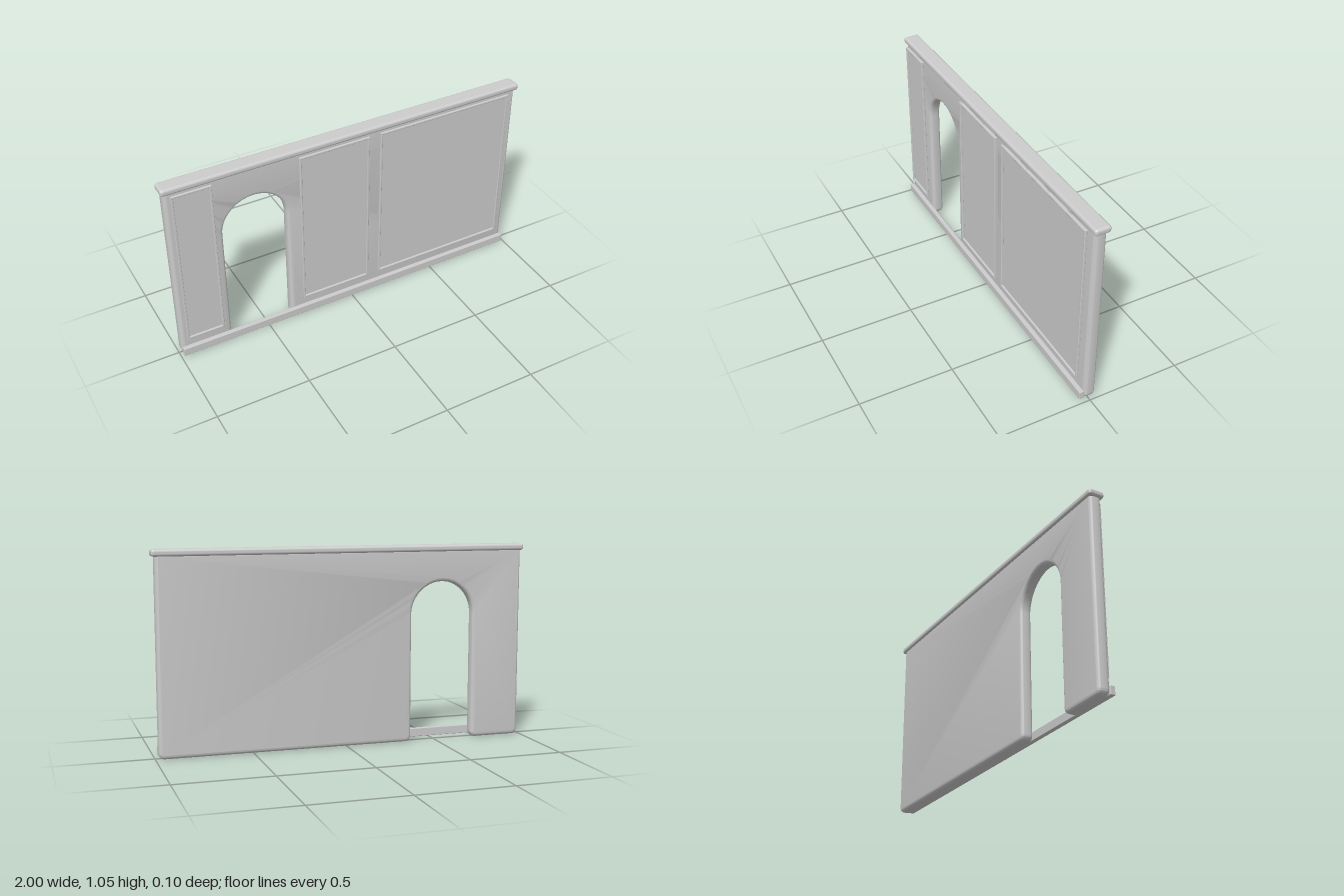
import * as THREE from 'three';
import { toCreasedNormals } from 'three/addons/utils/BufferGeometryUtils.js';
import { RoundedBoxGeometry } from 'three/addons/geometries/RoundedBoxGeometry.js';

export function createModel() {
  const group = new THREE.Group();
  const plaster = new THREE.MeshStandardMaterial({ color: 0xcccccc });
  plaster.name = 'grey plaster';

  const add = (name, geometry, x = 0, y = 0, z = 0) => {
    const mesh = new THREE.Mesh(geometry, plaster);
    mesh.name = name;
    mesh.position.set(x, y, z);
    group.add(mesh);
  };

  // Wall slab with an arched doorway; the outline is inset by the bevel
  const b = 0.02, r = 0.012;
  const left = -0.988 + b, right = 0.984 - b, bottom = b, top = 1.03 - b;
  const doorX = -0.535, doorR = 0.174 + b, springY = 0.681;
  const doorL = doorX - doorR, doorRt = doorX + doorR;
  const s = new THREE.Shape();
  s.moveTo(left + r, bottom);
  s.lineTo(doorL - r, bottom);
  s.quadraticCurveTo(doorL, bottom, doorL, bottom + r);
  s.lineTo(doorL, springY);
  s.absarc(doorX, springY, doorR, Math.PI, 0, true);
  s.lineTo(doorRt, bottom + r);
  s.quadraticCurveTo(doorRt, bottom, doorRt + r, bottom);
  s.lineTo(right - r, bottom);
  s.quadraticCurveTo(right, bottom, right, bottom + r);
  s.lineTo(right, top);
  s.lineTo(left, top);
  s.lineTo(left, bottom + r);
  s.quadraticCurveTo(left, bottom, left + r, bottom);
  const wall = new THREE.ExtrudeGeometry(s, {
    depth: 0.064 - 2 * b, bevelEnabled: true, bevelSize: b, bevelThickness: b,
    bevelSegments: 5, curveSegments: 20,
  });
  add('wall', toCreasedNormals(wall, 0.6), 0, 0, -0.039 + b);

  // Rounded coping along the top and plain skirting across the foot
  add('coping', new RoundedBoxGeometry(2, 0.036, 0.086, 4, 0.014), 0, 1.032, -0.007);
  add('skirting', new RoundedBoxGeometry(1.968, 0.045, 0.025, 2, 0.003), -0.002, 0.0325, 0.0375);

  // Raised wall panels, each with a slim moulding around its edge
  const rect = (target, w, h) => {
    target.moveTo(-w / 2, -h / 2);
    target.lineTo(w / 2, -h / 2);
    target.lineTo(w / 2, h / 2);
    target.lineTo(-w / 2, h / 2);
    target.closePath();
    return target;
  };
  const y0 = 0.107, y1 = 1.007, h = y1 - y0, cy = (y0 + y1) / 2;
  for (const [name, x0, x1] of [
    ['narrow', -0.957, -0.753], ['middle', -0.295, 0.097], ['wide', 0.16, 0.932],
  ]) {
    const w = x1 - x0, cx = (x0 + x1) / 2, e = 0.003;
    add(name + 'Panel', new THREE.BoxGeometry(w - 0.014, h - 0.014, 0.01), cx, cy, 0.028);
    const ring = rect(new THREE.Shape(), w - 2 * e, h - 2 * e);
    ring.holes.push(rect(new THREE.Path(), w - 0.024 + 2 * e, h - 0.024 + 2 * e));
    const moulding = new THREE.ExtrudeGeometry(ring, {
      depth: 0.006, bevelEnabled: true, bevelSize: e, bevelThickness: e, bevelSegments: 3,
    });
    add(name + 'Moulding', toCreasedNormals(moulding, 0.7), cx, cy, 0.035);
  }
  return group;
}
